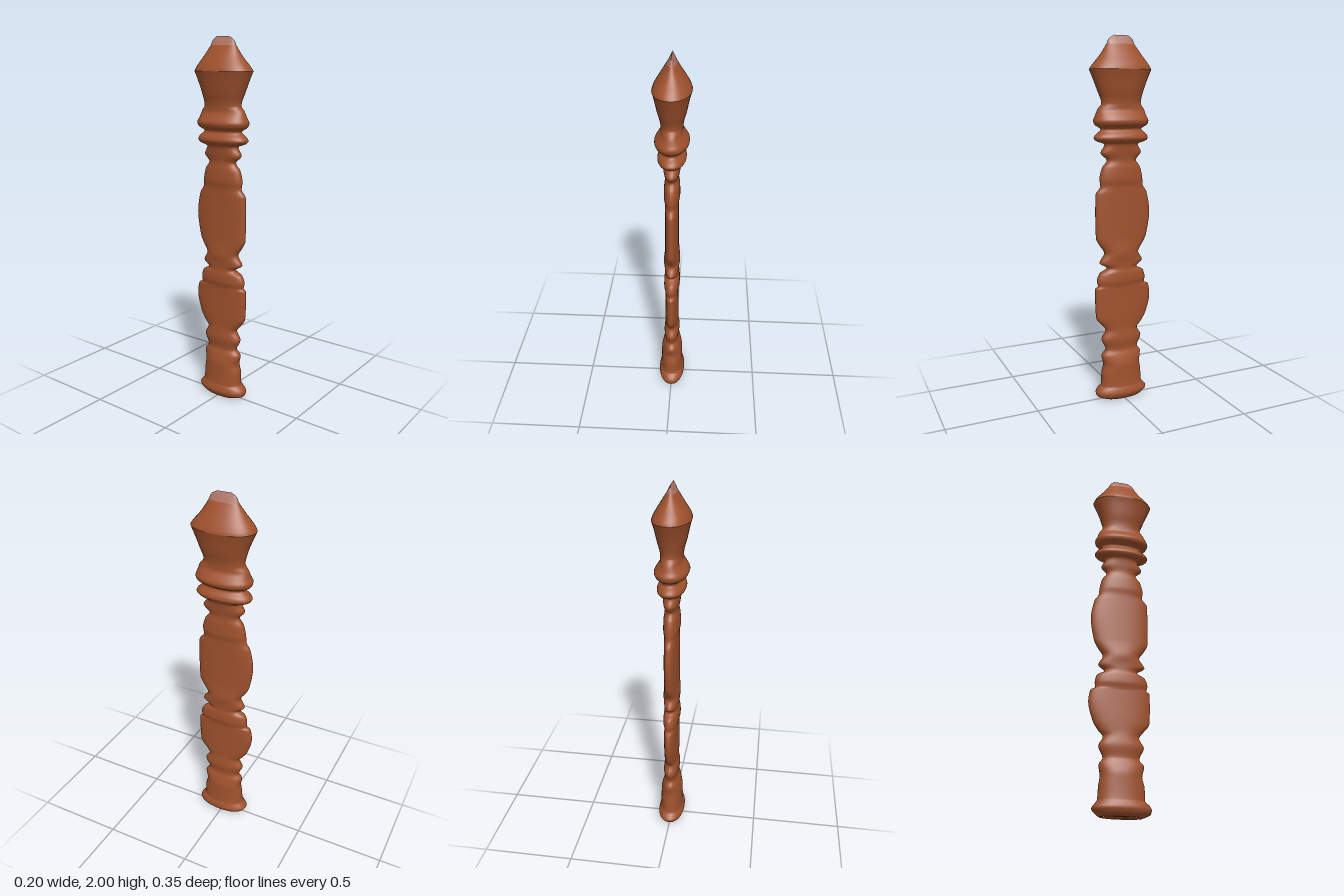
import * as THREE from 'three';

const SIDES = 40;

// Monotone cubic interpolation of one column of a profile, so that rings stay crisp
function sample(rows, k, i, t) {
  const secant = (n) => (rows[n + 1][k] - rows[n][k]) / (rows[n + 1][0] - rows[n][0]);
  const slope = (n) => {
    if (n === 0) return secant(0);
    if (n === rows.length - 1) return secant(n - 1);
    const a = secant(n - 1), b = secant(n);
    return a * b <= 0 ? 0 : (2 * a * b) / (a + b);
  };
  const h = rows[i + 1][0] - rows[i][0], t2 = t * t, t3 = t2 * t;
  return (2 * t3 - 3 * t2 + 1) * rows[i][k] + (t3 - 2 * t2 + t) * h * slope(i)
    + (3 * t2 - 2 * t3) * rows[i + 1][k] + (t3 - t2) * h * slope(i + 1);
}

// Fill in extra sections between the given ones
function refine(rows, steps) {
  const out = [];
  for (let i = 0; i < rows.length - 1; i++) {
    for (let s = 0; s < steps; s++) {
      const t = s / steps;
      out.push([rows[i][0] + (rows[i + 1][0] - rows[i][0]) * t,
        ...[1, 2, 3].map((k) => sample(rows, k, i, t))]);
    }
  }
  out.push(rows[rows.length - 1]);
  return out;
}

// Skin over sections [y, half width, front depth, back depth]
function loft(rows, power) {
  const positions = [], index = [];
  const bend = (v) => Math.sign(v) * Math.abs(v) ** (2 / power);
  for (const [y, w, front, back] of rows) {
    for (let i = 0; i < SIDES; i++) {
      const a = (i / SIDES) * Math.PI * 2, s = bend(Math.sin(a));
      positions.push(w * bend(Math.cos(a)), y, s * (s > 0 ? front : back));
    }
  }
  for (let j = 0; j < rows.length - 1; j++) {
    for (let i = 0; i < SIDES; i++) {
      const a = j * SIDES + i, b = j * SIDES + (i + 1) % SIDES;
      index.push(a, a + SIDES, b, b, a + SIDES, b + SIDES);
    }
  }
  const g = new THREE.BufferGeometry();
  g.setAttribute('position', new THREE.Float32BufferAttribute(positions, 3));
  g.setIndex(index);
  g.computeVertexNormals();
  return g;
}

export function createModel() {
  const wood = new THREE.MeshStandardMaterial({ color: 0xa0522d });
  wood.name = 'reddish wood';
  const worn = new THREE.MeshStandardMaterial({ color: 0xad7464 });
  worn.name = 'worn wood';

  const group = new THREE.Group();
  group.name = 'carvedStaff';
  const add = (name, geometry, material) => {
    const mesh = new THREE.Mesh(geometry, material);
    mesh.name = name;
    group.add(mesh);
  };

  // Underside with a shallow socket
  add('baseSocket', loft([
    [0.05, 0, 0, 0], [0.05, 0.025, 0.035, 0.035],
    [0, 0.025, 0.035, 0.035], [0, 0.05, 0.11, 0.11],
  ], 2), wood);

  // Flared foot and lower collars
  const foot = [
    [0, 0.05, 0.11, 0.11], [0.02, 0.068, 0.15, 0.135], [0.04, 0.075, 0.155, 0.148],
    [0.06, 0.071, 0.145, 0.135], [0.08, 0.065, 0.122, 0.12], [0.15, 0.061, 0.12, 0.115],
    [0.2, 0.06, 0.108, 0.108], [0.255, 0.048, 0.12, 0.115], [0.29, 0.037, 0.095, 0.095],
    [0.35, 0.044, 0.12, 0.118], [0.4, 0.039, 0.095, 0.095],
  ];
  // Two flat swelling panels divided by collars
  const panels = [
    [0.43, 0.037, 0.115, 0.12], [0.48, 0.037, 0.152, 0.15], [0.58, 0.036, 0.157, 0.175],
    [0.645, 0.036, 0.157, 0.165], [0.66, 0.038, 0.14, 0.14], [0.69, 0.044, 0.145, 0.142],
    [0.73, 0.042, 0.13, 0.132], [0.757, 0.038, 0.085, 0.09], [0.79, 0.039, 0.13, 0.125],
    [0.84, 0.045, 0.1, 0.1], [0.89, 0.04, 0.13, 0.13], [0.93, 0.037, 0.15, 0.15],
    [1.06, 0.036, 0.153, 0.17], [1.17, 0.036, 0.15, 0.152], [1.21, 0.037, 0.122, 0.128],
    [1.25, 0.043, 0.126, 0.124], [1.31, 0.041, 0.112, 0.11], [1.35, 0.036, 0.083, 0.085],
  ];
  // Neck with two thick rings, widening into the head
  const neck = [
    [1.39, 0.042, 0.12, 0.115], [1.435, 0.05, 0.095, 0.095], [1.455, 0.068, 0.145, 0.145],
    [1.47, 0.075, 0.156, 0.153], [1.485, 0.071, 0.148, 0.146], [1.515, 0.05, 0.118, 0.115],
    [1.54, 0.083, 0.15, 0.148], [1.56, 0.09, 0.157, 0.153], [1.585, 0.078, 0.148, 0.142],
    [1.62, 0.057, 0.135, 0.13], [1.65, 0.058, 0.112, 0.11], [1.72, 0.075, 0.135, 0.125],
    [1.79, 0.09, 0.163, 0.152], [1.825, 0.1, 0.178, 0.167],
  ];
  add('shaft', loft(refine([...foot, ...panels, ...neck], 4), 2.2), wood);

  // Head narrowing to a ridge, with a worn tip
  const rim = [1.955, 0.025, 0.083, 0.075];
  add('head', loft(refine([
    [1.825, 0.1, 0.178, 0.167], [1.84, 0.095, 0.168, 0.16], [1.9, 0.06, 0.118, 0.115], rim,
  ], 4), 2.2), wood);
  add('wornTip', loft(refine([
    rim, [1.98, 0.012, 0.072, 0.065], [2, 0, 0.04, 0.04],
  ], 4), 2.2), worn);

  return group;
}
